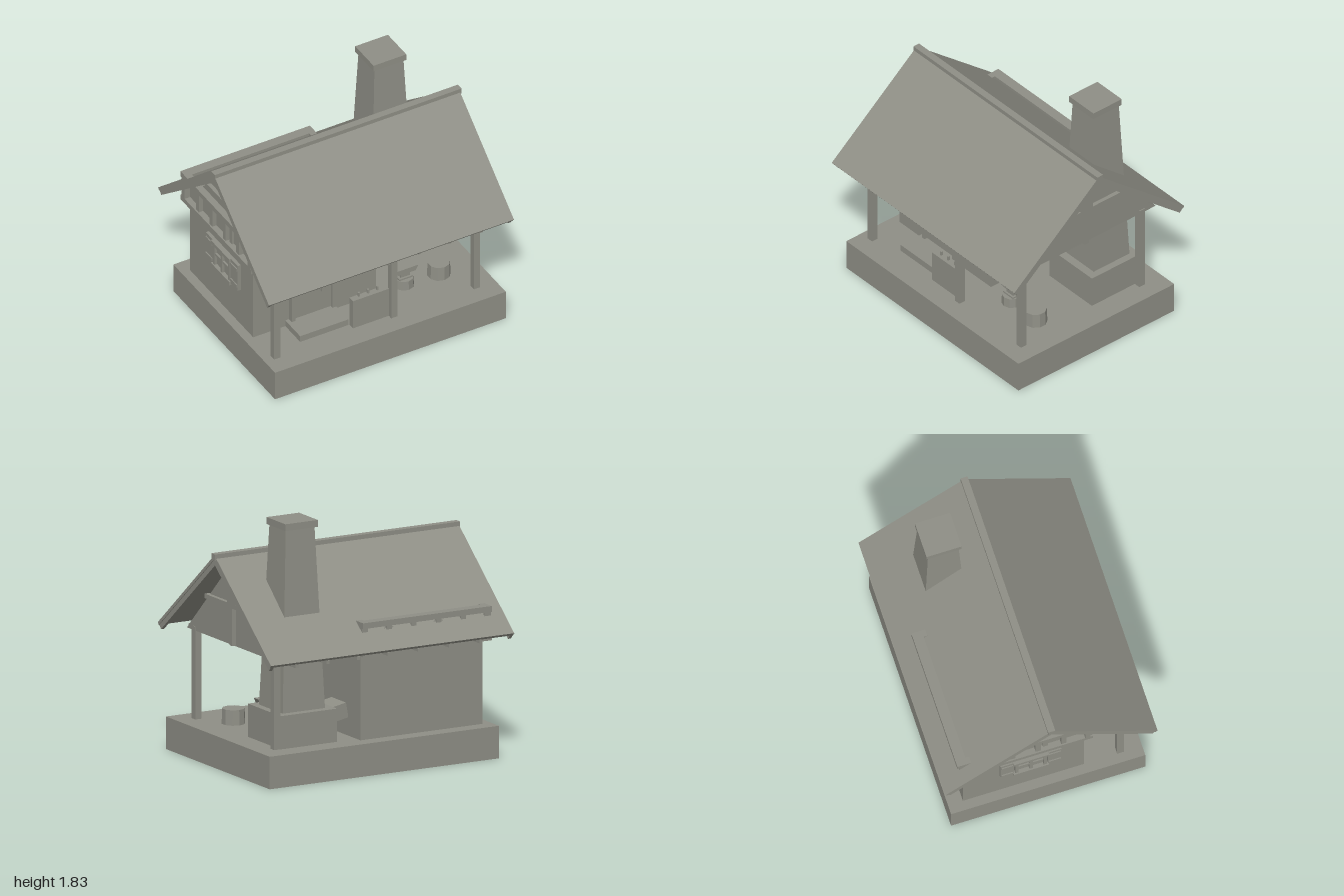
import * as THREE from 'three';

const clay = new THREE.MeshStandardMaterial({ color: 0x8f8f86, flatShading: true });
clay.name = 'clay grey';

export function createModel() {
  const model = new THREE.Group();
  model.name = 'smithyCottage';

  const add = (name, geometry) => {
    const mesh = new THREE.Mesh(geometry, clay);
    mesh.name = name;
    model.add(mesh);
    return mesh;
  };
  // Box given by its limits on each axis
  const box = (name, x0, x1, y0, y1, z0, z1) => {
    const mesh = add(name, new THREE.BoxGeometry(x1 - x0, y1 - y0, z1 - z0));
    mesh.position.set((x0 + x1) / 2, (y0 + y1) / 2, (z0 + z1) / 2);
    return mesh;
  };
  // Outline in (z, y), extruded from x0 to x1
  const prismX = (name, points, x0, x1) => {
    const shape = new THREE.Shape(points.map(p => new THREE.Vector2(p[0], p[1])));
    const geo = new THREE.ExtrudeGeometry(shape, { depth: x1 - x0, bevelEnabled: false });
    geo.rotateY(-Math.PI / 2).translate(x1, 0, 0);
    return add(name, geo);
  };
  const stump = (name, x, z, r, y0, y1) => {
    const mesh = add(name, new THREE.CylinderGeometry(r * 0.95, r, y1 - y0, 10));
    mesh.position.set(x, (y0 + y1) / 2, z);
  };

  const floor = 0.235;
  box('foundation', -0.91, 0.96, 0, floor, -0.715, 0.72);

  // House body with a jettied timber frame around its upper part
  box('houseWalls', -0.84, 0.12, floor, 1.04, -0.605, 0.29);
  box('rightWall', 0.1, 0.155, floor, 0.85, -0.605, 0.29);
  for (const [y0, y1] of [[0.845, 0.885], [1.05, 1.092]]) {
    box('frameBackBeam', -0.885, 0.165, y0, y1, -0.66, -0.585);
    box('frameFrontBeam', -0.885, 0.165, y0, y1, 0.28, 0.34);
    box('frameLeftBeam', -0.885, -0.835, y0, y1, -0.585, 0.28);
    box('frameRightBeam', 0.115, 0.165, y0, y1, -0.585, 0.28);
  }
  for (let i = 0; i <= 5; i++) {
    const x = -0.885 + i * 0.202;
    box('frameBackStud', x, x + 0.04, 0.885, 1.05, -0.645, -0.6);
    box('frameFrontStud', x, x + 0.04, 0.885, 1.05, 0.285, 0.325);
    if (i < 5) {
      const brace = box('frameBrace', x + 0.02, x + 0.22, 0.955, 0.98, -0.635, -0.6);
      brace.rotation.z = i % 2 ? 0.65 : -0.65;
    }
    const z = -0.645 + i * 0.189;
    box('frameLeftStud', -0.875, -0.835, 0.885, 1.05, z, z + 0.04);
    box('frameRightStud', 0.115, 0.155, 0.885, 1.05, z, z + 0.04);
  }

  // Porch posts and the beams they carry
  for (const x of [-0.84, 0.11, 0.78]) box('frontPost', x, x + 0.05, floor, 0.885, 0.535, 0.585);
  box('backPost', 0.78, 0.83, floor, 0.885, -0.557, -0.505);
  box('frontPlate', -0.885, 0.83, 0.875, 0.905, 0.535, 0.585);
  box('backPlate', 0.16, 0.83, 0.875, 0.905, -0.557, -0.505);
  for (let i = -3; i <= 3; i++) {
    const x = i * 0.25;
    box('joist', x - 0.013, x + 0.013, 0.855, 0.88, -0.74, 0.74);
  }

  // Roof slabs, edge boards and ridge
  const dz = 0.773, dy = -0.634; // unit direction down the slope
  for (const s of [1, -1]) {
    const slope = (top, bottom, from, to) => [
      [s * (from * dz + bottom * dy), 1.56 + from * dy - bottom * dz],
      [s * (to * dz + bottom * dy), 1.56 + to * dy - bottom * dz],
      [s * (to * dz + top * dy), 1.56 + to * dy - top * dz],
      [s * (from * dz + top * dy), 1.56 + from * dy - top * dz],
    ];
    prismX('roofSlab', slope(0.008, 0.03, 0.015, 1.02), -0.995, 0.99);
    for (const x of [-0.99, 0.96]) {
      prismX('bargeBoard', slope(0.03, 0.066, 0.03, 1.02), x, x + 0.025);
    }
  }
  box('ridgeBeam', -1, 1, 1.515, 1.56, -0.026, 0.026);

  // Gables with crossed timbers on their outer faces
  for (const s of [-1, 1]) {
    const x = s * 0.81;
    prismX('gablePanel', [[-0.66, 0.875], [0.66, 0.875], [0, 1.505]], x - 0.015, x + 0.015);
    const timber = (name, y0, y1, z) =>
      box(name, Math.min(x, x + s * 0.045), Math.max(x, x + s * 0.045), y0, y1, -z, z);
    timber('gableCrossBeam', 1.15, 1.182, 0.365);
    timber('gableKingPost', 0.88, 1.51, 0.018);
    timber('gableBlock', 1.182, 1.3, 0.055);
  }

  // Chimney: hearth, tapered stack and cap
  box('hearth', 0.32, 0.78, floor, 0.475, -0.56, -0.11);
  const stack = new THREE.BoxGeometry(1, 1, 1);
  const p = stack.attributes.position;
  for (let i = 0; i < p.count; i++) {
    const top = p.getY(i) > 0;
    p.setXYZ(i, 0.555 + p.getX(i) * (top ? 0.235 : 0.345), top ? 1.785 : 0.47,
      -0.336 + p.getZ(i) * (top ? 0.225 : 0.33));
  }
  stack.computeVertexNormals();
  add('chimneyStack', stack);
  box('chimneyCap', 0.42, 0.685, 1.78, 1.83, -0.465, -0.205);
  box('bellows', 0.158, 0.318, 0.35, 0.46, -0.43, -0.23).rotation.z = -0.19;

  // Front door with frame, handle and step
  box('door', -0.52, -0.22, floor, 0.735, 0.28, 0.305);
  box('doorJamb', -0.55, -0.52, floor, 0.77, 0.28, 0.33);
  box('doorJamb', -0.22, -0.19, floor, 0.77, 0.28, 0.33);
  box('doorLintel', -0.52, -0.22, 0.735, 0.77, 0.28, 0.33);
  box('doorHandle', -0.302, -0.285, 0.455, 0.5, 0.3, 0.325);
  box('doorStep', -0.58, -0.19, floor, 0.285, 0.29, 0.5);

  // Tool rack beside the door
  box('rackPanel', -0.18, 0.11, floor, 0.475, 0.5, 0.55);
  for (const x of [-0.115, -0.04, 0.035]) box('rackPeg', x - 0.007, x + 0.007, 0.47, 0.507, 0.51, 0.525);

  // Shuttered window on the left wall
  const wz = -0.11;
  box('windowPane', -0.85, -0.835, 0.56, 0.74, wz - 0.1, wz + 0.1);
  for (const y of [0.545, 0.745]) box('windowRail', -0.88, -0.835, y - 0.015, y + 0.015, wz - 0.13, wz + 0.13);
  for (const s of [-1, 0, 1]) {
    box('windowBar', -0.87, -0.835, 0.55, 0.74, wz + s * 0.105 - 0.012, wz + s * 0.105 + 0.012);
  }
  box('windowCrossBar', -0.865, -0.835, 0.64, 0.66, wz - 0.1, wz + 0.1);
  for (const s of [-1, 1]) {
    const z = wz + s * 0.175;
    box('shutter', -0.865, -0.835, 0.54, 0.76, z - 0.05, z + 0.05);
    for (const y of [0.58, 0.72]) box('shutterBatten', -0.873, -0.86, y - 0.012, y + 0.012, z - 0.045, z + 0.045);
  }

  // Anvil on its block, and a stump seat
  stump('anvilBlock', 0.38, 0.29, 0.073, floor, 0.308);
  box('anvilFoot', 0.325, 0.435, 0.305, 0.32, 0.25, 0.325);
  box('anvilWaist', 0.345, 0.42, 0.318, 0.358, 0.265, 0.31);
  const anvil = new THREE.Shape([[0.285, 0.393], [0.32, 0.352], [0.46, 0.352], [0.48, 0.393]]
    .map(q => new THREE.Vector2(q[0], q[1])));
  add('anvilTop', new THREE.ExtrudeGeometry(anvil, { depth: 0.065, bevelEnabled: false })).position.z = 0.256;
  stump('stumpSeat', 0.655, 0.305, 0.085, floor, 0.345);

  return model;
}
